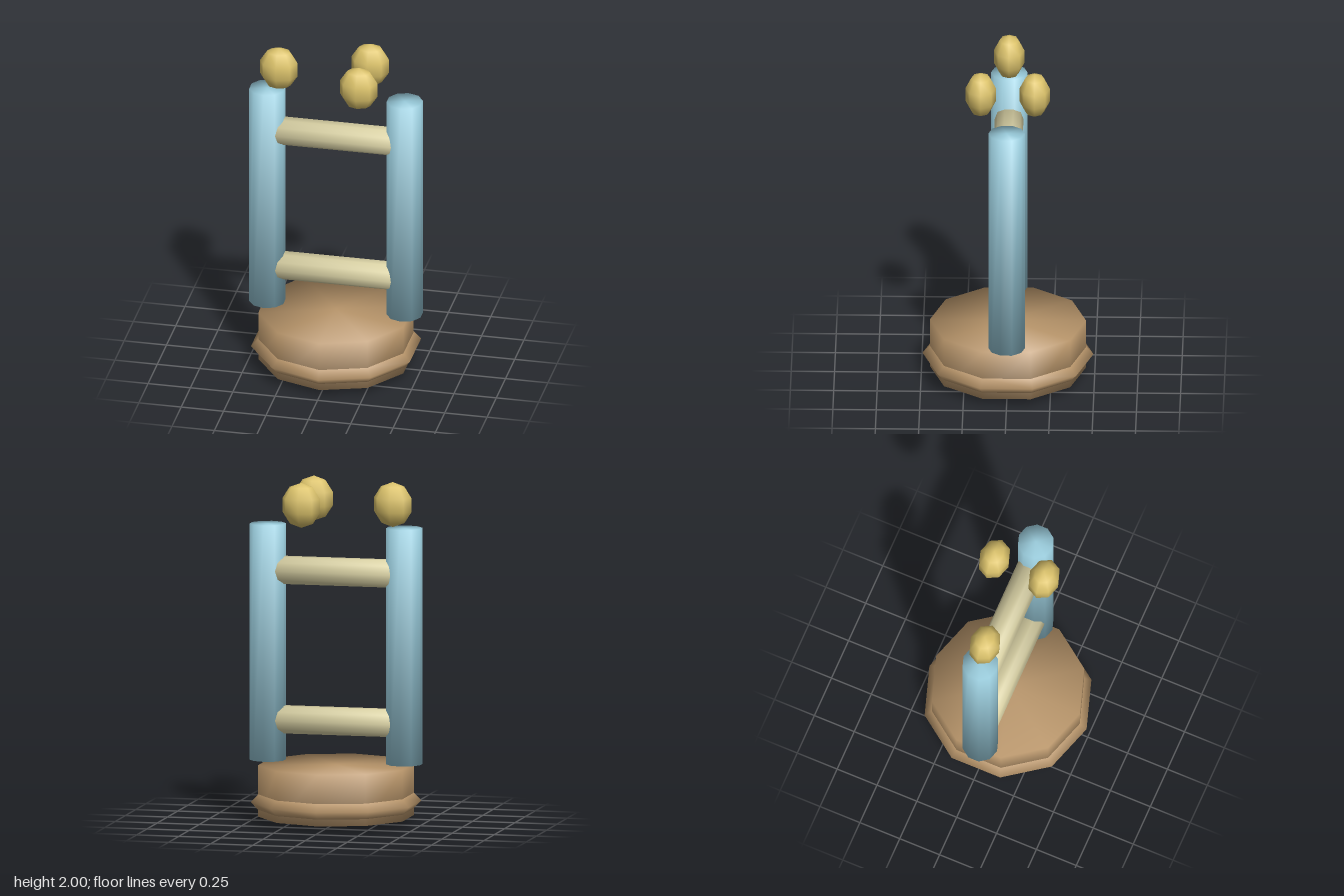
import * as THREE from 'three';

const makeMat = (name, color) => {
  const m = new THREE.MeshStandardMaterial({ color });
  m.name = name;
  return m;
};

// Ten-sided closed cylinder whose normals run smoothly over the rim
function softCylinder(radius, height) {
  const geo = new THREE.CylinderGeometry(radius, radius, height, 10, 1);
  const p = geo.attributes.position;
  const n = new THREE.Vector3();
  for (let i = 0; i < p.count; i++) {
    n.set(p.getX(i) / radius, 0.68 * Math.sign(p.getY(i)), p.getZ(i) / radius).normalize();
    geo.attributes.normal.setXYZ(i, n.x, n.y, n.z);
  }
  return geo;
}

const lathe = (pts) =>
  new THREE.LatheGeometry(pts.map(([r, y]) => new THREE.Vector2(r, y)), 10);

export function createModel() {
  const group = new THREE.Group();
  const brown = makeMat('brown wood', 0xb9966b);
  const blue = makeMat('pale blue', 0x99cbdb);
  const cream = makeMat('cream', 0xdfd7a9);
  const gold = makeMat('gold', 0xdcc36b);

  const add = (name, geo, mat, x, y, z) => {
    const mesh = new THREE.Mesh(geo, mat);
    mesh.name = name;
    mesh.position.set(x, y, z);
    group.add(mesh);
    return mesh;
  };

  // Round base with a projecting band and a shallow domed underside
  add('base', softCylinder(0.45, 0.3), brown, 0, 0.195, 0);
  add('baseBand', lathe([[0.45, 0.085], [0.493, 0.13], [0.45, 0.175]]), brown, 0, 0, 0);
  add('baseUnderside', lathe([[0, 0.004], [0.23, 0.021], [0.32, 0.046]]), brown, 0, 0, 0);

  // Two upright posts
  const postGeo = softCylinder(0.105, 1.375);
  add('leftPost', postGeo, blue, 0.405, 1.0475, 0);
  add('rightPost', postGeo, blue, -0.405, 1.0475, 0);

  // Two rungs joining the posts
  const rungGeo = softCylinder(0.083, 0.8);
  rungGeo.rotateZ(Math.PI / 2);
  add('lowerRung', rungGeo, cream, 0, 0.597, 0);
  add('upperRung', rungGeo, cream, 0, 1.467, 0);

  // Three egg-shaped beads floating over the frame
  const beadGeo = new THREE.SphereGeometry(1, 8, 5);
  beadGeo.scale(0.117, 0.131, 0.0925);
  [[-0.337, 0], [0.168, -0.157], [0.168, 0.154]].forEach(([x, z], i) =>
    add('bead' + (i + 1), beadGeo, gold, x, 1.869, z));

  return group;
}
